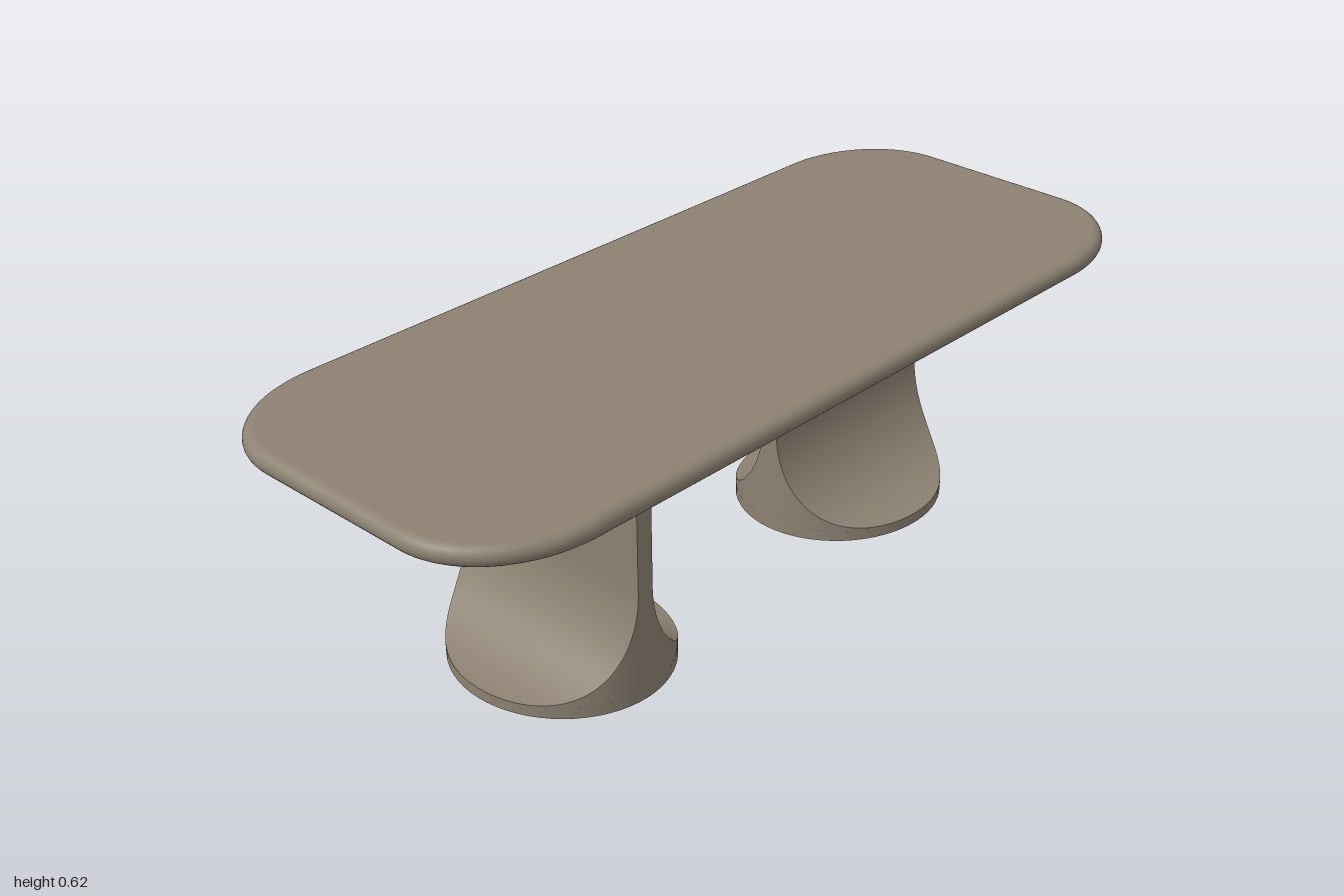
import * as THREE from 'three';
import { mergeGeometries } from 'three/addons/utils/BufferGeometryUtils.js';

// Smooth surface patch from a function of (u, v), both running 0..1
function patch(fn, nu, nv) {
  const pos = [], idx = [];
  for (let j = 0; j <= nv; j++) {
    for (let i = 0; i <= nu; i++) pos.push(...fn(i / nu, j / nv, i, j));
  }
  const w = nu + 1;
  for (let j = 0; j < nv; j++) {
    for (let i = 0; i < nu; i++) {
      const a = j * w + i, b = a + 1, c = a + w, d = c + 1;
      idx.push(a, b, c, b, d, c);
    }
  }
  const geo = new THREE.BufferGeometry();
  geo.setAttribute('position', new THREE.Float32BufferAttribute(pos, 3));
  geo.setIndex(idx);
  geo.computeVertexNormals();
  return geo;
}

// Table top: rounded rectangle with a fully rounded rim
function topGeometry() {
  const halfX = 0.415, halfZ = 1, rx = 0.225, rz = 0.27;
  const yMid = 0.594, r = 0.0225, seg = 20;
  const outline = [];
  for (let q = 0; q < 4; q++) {
    const sx = q === 0 || q === 3 ? 1 : -1, sz = q < 2 ? 1 : -1;
    for (let k = 0; k <= seg; k++) outline.push([sx, sz, (q + k / seg) * Math.PI / 2]);
  }
  outline.push(outline[0]);
  const n = outline.length - 1;
  const ring = (i, inset, y) => {
    const [sx, sz, a] = outline[i];
    return [
      sx * (halfX - rx) + (rx - inset) * Math.cos(a), y,
      sz * (halfZ - rz) + (rz - inset) * Math.sin(a),
    ];
  };
  const rim = patch((u, v, i) => {
    const a = Math.PI * v;
    return ring(i, r * (1 - Math.sin(a)), yMid + r * Math.cos(a));
  }, n, 12);
  const upper = patch((u, v, i, j) => (j ? ring(i, r, yMid + r) : [0, yMid + r, 0]), n, 1);
  const lower = patch((u, v, i, j) => (j ? [0, yMid - r, 0] : ring(i, r, yMid - r)), n, 1);
  return mergeGeometries([rim, upper, lower]);
}

// Leg: a thin blade flaring into an elliptical foot, trimmed by the foot's outline
function legGeometry() {
  const a = 0.249, b = 0.2325, blade = 0.02, footY = 0.025, flareY = 0.255, topY = 0.58;
  const phi0 = Math.asin(blade / b), steps = 36;
  const rows = [[phi0, topY]];
  for (let k = 0; k <= steps; k++) {
    const phi = phi0 + (Math.PI / 2 - phi0) * (k / steps) ** 2;
    const t = Math.min(1, (b - b * Math.sin(phi)) / (b - blade));
    rows.push([phi, flareY - (flareY - footY) * Math.sqrt(1 - t * t)]);
  }
  const side = patch((u, v, i, j) => {
    const [phi, y] = rows[j];
    return [a * Math.cos(phi) * (1 - 2 * u), y, b * Math.sin(phi)];
  }, 12, rows.length - 1);

  const endRows = [...rows, [Math.PI / 2, 0]];
  const end = patch((u, v, i, j) => {
    const [phi, y] = endRows[j];
    const t = phi * (2 * u - 1);
    return [a * Math.cos(t), y, b * Math.sin(t)];
  }, 32, endRows.length - 1);

  const sole = patch((u, v, i, j) => {
    const t = u * Math.PI * 2;
    return j ? [0, 0, 0] : [a * Math.cos(t), 0, b * Math.sin(t)];
  }, 64, 1);

  return mergeGeometries([
    side, side.clone().rotateY(Math.PI),
    end, end.clone().rotateY(Math.PI),
    sole,
  ]);
}

export function createModel() {
  const group = new THREE.Group();
  group.name = 'table';
  const taupe = new THREE.MeshStandardMaterial({ color: 0x8c8172 });
  taupe.name = 'taupe';

  const add = (name, geo) => {
    const mesh = new THREE.Mesh(geo, taupe);
    mesh.name = name;
    group.add(mesh);
    return mesh;
  };

  add('tableTop', topGeometry());

  // The two legs stand at right angles to each other
  const leg = legGeometry();
  add('frontLeg', leg).position.z = 0.457;
  const back = add('backLeg', leg);
  back.position.z = -0.437;
  back.rotation.y = Math.PI / 2;

  return group;
}
